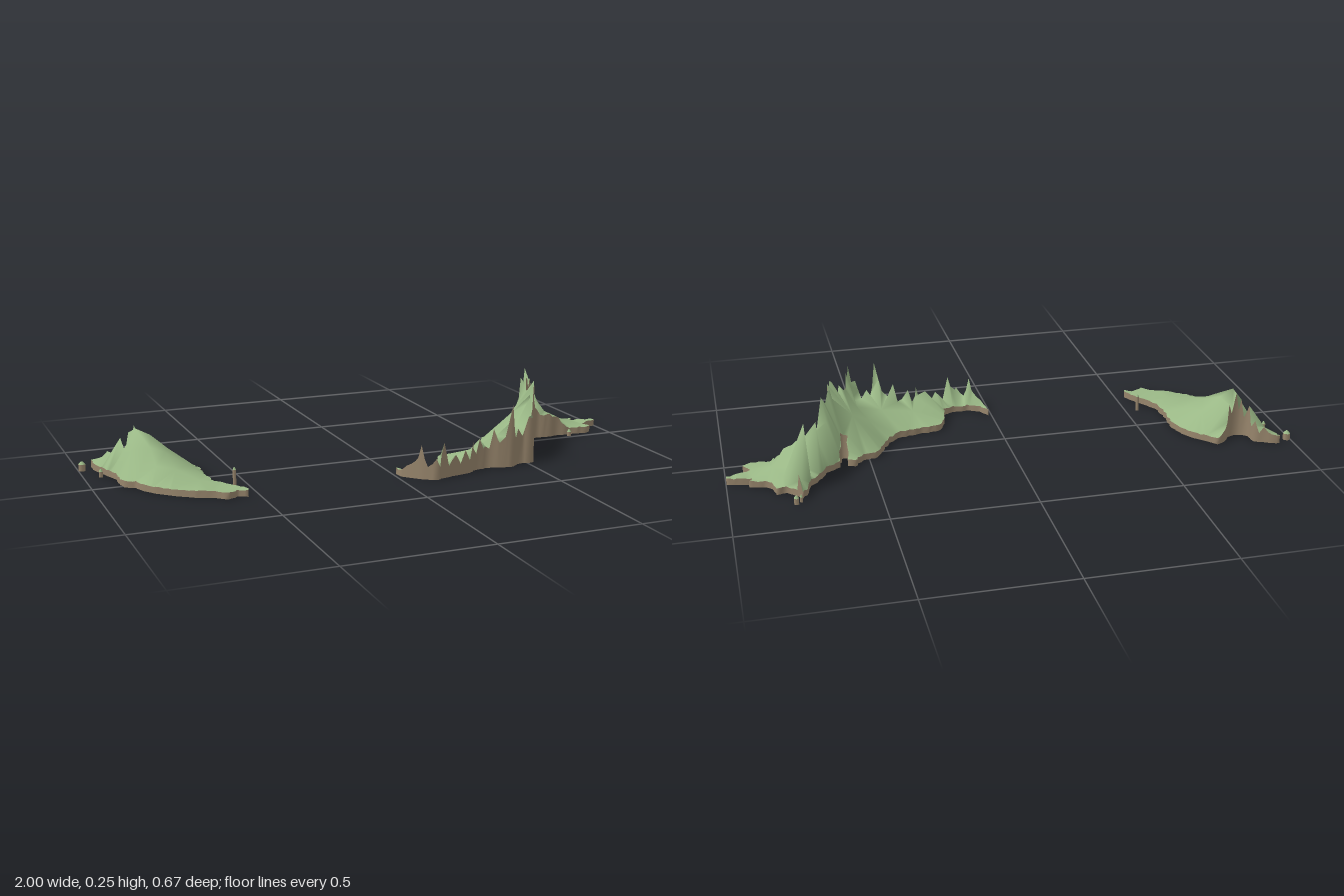
import * as THREE from 'three';

const COAST = 0.024; // height of the land's rim along the sea

const green = new THREE.MeshStandardMaterial({ color: 0x9ab886 });
green.name = 'meadow green';
const brown = new THREE.MeshStandardMaterial({ color: 0x97856c });
brown.name = 'earth brown';

function seeded(seed) {
  return () => (seed = (seed * 16807) % 2147483647) / 2147483647;
}

// Delaunay triangulation of [x, z] points
function delaunay(points) {
  const p = [...points, [-20, -20], [20, -20], [0, 30]];
  const n = points.length;
  const circle = (a, b, c) => {
    const [ax, ay] = p[a], bx = p[b][0] - ax, by = p[b][1] - ay, cx = p[c][0] - ax, cy = p[c][1] - ay;
    const d = 2 * (bx * cy - by * cx) || 1e-14;
    const ux = (cy * (bx * bx + by * by) - by * (cx * cx + cy * cy)) / d;
    const uy = (bx * (cx * cx + cy * cy) - cx * (bx * bx + by * by)) / d;
    return { v: [a, b, c], x: ax + ux, y: ay + uy, r: ux * ux + uy * uy };
  };
  let tris = [circle(n, n + 1, n + 2)];
  for (let i = 0; i < n; i++) {
    const edges = new Map();
    tris = tris.filter((t) => {
      if ((p[i][0] - t.x) ** 2 + (p[i][1] - t.y) ** 2 >= t.r) return true;
      t.v.forEach((a, k) => {
        const b = t.v[(k + 1) % 3], key = Math.min(a, b) + '_' + Math.max(a, b);
        if (edges.has(key)) edges.delete(key);
        else edges.set(key, [a, b]);
      });
      return false;
    });
    for (const [a, b] of edges.values()) tris.push(circle(a, b, i));
  }
  return tris.map((t) => t.v).filter((v) => v.every((k) => k < n));
}

function inside(x, z, ring) {
  let hit = false;
  ring.forEach(([ax, az], i) => {
    const [bx, bz] = ring[(i + 1) % ring.length];
    if (az > z !== bz > z && x < ((bx - ax) * (z - az)) / (bz - az) + ax) hit = !hit;
  });
  return hit;
}

// Splits the outline into short steps: wavy coasts, jagged ridges
function refine(outline, rand) {
  const ring = [];
  outline.forEach(([ax, az, ah = COAST], i) => {
    const [bx, bz, bh = COAST] = outline[(i + 1) % outline.length];
    const steps = Math.max(1, Math.round(Math.hypot(bx - ax, bz - az) / 0.014));
    for (let k = 0; k < steps; k++) {
      const t = k / steps, wobble = k ? (rand() - 0.5) * 0.007 : 0;
      let h = ah + (bh - ah) * t;
      if (k) h *= h > 0.05 ? 0.75 + rand() * 0.25 : 0.85 + rand() * 0.2;
      ring.push([ax + (bx - ax) * t + wobble, az + (bz - az) * t + wobble, h]);
    }
  });
  return ring;
}

function geometry(positions, index) {
  const g = new THREE.BufferGeometry();
  g.setAttribute('position', new THREE.Float32BufferAttribute(positions.flat(), 3));
  g.setIndex(index);
  g.computeVertexNormals();
  return g;
}

// Relief land: green slopes between rim and hills, brown cliff wall, flat base.
// The outline runs clockwise as seen from above.
function makeLand(name, outline, hills, seed) {
  const ring = refine(outline, seeded(seed));
  const points = [...ring, ...hills];

  const top = [], base = [];
  for (const [a, b, c] of delaunay(points)) {
    const [A, B, C] = [points[a], points[b], points[c]];
    if (!inside((A[0] + B[0] + C[0]) / 3, (A[1] + B[1] + C[1]) / 3, ring)) continue;
    const up = (B[1] - A[1]) * (C[0] - A[0]) - (B[0] - A[0]) * (C[1] - A[1]) > 0;
    top.push(...(up ? [a, b, c] : [a, c, b]));
    base.push(...(up ? [a, c, b] : [a, b, c]));
  }
  const wall = [], wallIndex = [];
  ring.forEach(([x, z, h], i) => {
    const a = 2 * i, b = 2 * ((i + 1) % ring.length);
    wall.push([x, 0, z], [x, h, z]);
    wallIndex.push(a, a + 1, b, b, a + 1, b + 1);
  });

  const land = new THREE.Group();
  land.name = name;
  const add = (part, geo, material) => {
    const mesh = new THREE.Mesh(geo, material);
    mesh.name = name + part;
    land.add(mesh);
  };
  add('Surface', geometry(points.map(([x, z, h]) => [x, h, z]), top), green);
  add('Cliffs', geometry(wall, wallIndex), brown);
  add('Base', geometry(points.map(([x, z]) => [x, 0, z]), base), brown);
  return land;
}

// Small islet with a green cap
function makeIslet([x, z, radius, height]) {
  const islet = new THREE.Group();
  islet.name = 'islet';
  const body = new THREE.Mesh(new THREE.CylinderGeometry(radius, radius, height, 6), brown);
  body.position.y = height / 2;
  body.name = 'isletCliffs';
  const cap = new THREE.Mesh(new THREE.CylinderGeometry(radius * 0.3, radius, 0.009, 6), green);
  cap.position.y = height + 0.0045;
  cap.name = 'isletTop';
  islet.add(body, cap);
  islet.position.set(x, 0, z);
  return islet;
}

export function createModel() {
  const model = new THREE.Group();
  model.name = 'reliefMap';

  // western land: jagged mountain border in the north, then the coast
  const westBorder = [
    [-0.95, -0.265, 0.03], [-0.92, -0.26, 0.035], [-0.895, -0.245, 0.06], [-0.88, -0.24, 0.035], [-0.865, -0.232, 0.08],
    [-0.862, -0.205, 0.05], [-0.86, -0.185, 0.12], [-0.847, -0.173, 0.07], [-0.835, -0.168, 0.14], [-0.828, -0.166, 0.1],
    [-0.815, -0.165, 0.165], [-0.8, -0.17, 0.09], [-0.785, -0.178, 0.13], [-0.775, -0.195, 0.07], [-0.76, -0.21, 0.045],
  ];
  const westCoast = [
    [-0.73, -0.225], [-0.7, -0.19], [-0.665, -0.155], [-0.635, -0.11], [-0.617, -0.05], [-0.625, 0.03], [-0.618, 0.12],
    [-0.59, 0.165], [-0.56, 0.21], [-0.535, 0.255], [-0.54, 0.272], [-0.575, 0.257], [-0.61, 0.278], [-0.645, 0.245],
    [-0.7, 0.22], [-0.76, 0.176], [-0.815, 0.123], [-0.845, 0.08], [-0.86, 0.035], [-0.895, 0.015], [-0.9, -0.03],
    [-0.9, -0.08], [-0.915, -0.13], [-0.93, -0.175], [-0.945, -0.22],
  ];
  const westHills = [
    [-0.82, -0.12, 0.165], [-0.77, -0.12, 0.138], [-0.79, -0.04, 0.115], [-0.74, -0.03, 0.095], [-0.71, -0.11, 0.085],
    [-0.85, -0.07, 0.1], [-0.73, 0.07, 0.06], [-0.67, 0.0, 0.05], [-0.79, 0.04, 0.07], [-0.67, 0.14, 0.035],
  ];
  model.add(makeLand('westLand', [...westBorder, ...westCoast], westHills, 11));

  // eastern land: low sea coast, then the jagged southern border
  const northCoast = [
    [0.012, 0.212], [0.035, 0.255], [0.08, 0.277], [0.135, 0.275], [0.175, 0.26], [0.18, 0.21], [0.2, 0.145], [0.22, 0.123],
    [0.3, 0.112], [0.375, 0.095], [0.41, 0.065], [0.44, 0.005], [0.47, -0.042], [0.52, -0.053], [0.545, -0.075], [0.555, -0.095],
    [0.58, -0.085], [0.57, -0.03, 0.09], [0.596, -0.025, 0.1], [0.607, -0.09], [0.66, -0.123], [0.677, -0.16], [0.72, -0.205],
    [0.735, -0.255], [0.757, -0.294], [0.766, -0.28, 0.082], [0.773, -0.272], [0.805, -0.24], [0.84, -0.246], [0.85, -0.2],
    [0.87, -0.182], [0.925, -0.17], [0.912, -0.15], [0.95, -0.145], [0.998, -0.133], [0.998, -0.115], [0.95, -0.1],
    [0.915, -0.085], [0.938, -0.048], [0.91, -0.03],
  ];
  const southBorder = [
    [0.83, -0.037, 0.03], [0.795, -0.04, 0.07], [0.75, -0.032, 0.09], [0.7, -0.04, 0.11], [0.675, -0.03, 0.13],
    [0.655, -0.022, 0.24], [0.62, 0.015, 0.25], [0.612, 0.03, 0.21], [0.62, 0.05, 0.18], [0.622, 0.07, 0.25],
    [0.61, 0.095, 0.25], [0.6, 0.11, 0.235], [0.59, 0.12, 0.12], [0.575, 0.13, 0.215], [0.55, 0.155, 0.19],
    [0.545, 0.18, 0.2], [0.54, 0.2, 0.23], [0.535, 0.22, 0.1], [0.532, 0.242, 0.17], [0.525, 0.258, 0.235],
    [0.5, 0.262, 0.17], [0.48, 0.255, 0.1], [0.46, 0.26, 0.13], [0.445, 0.272, 0.1], [0.425, 0.284, 0.225],
    [0.4, 0.28, 0.11], [0.38, 0.275, 0.09], [0.36, 0.268, 0.14], [0.345, 0.264, 0.07], [0.305, 0.268, 0.11],
    [0.29, 0.272, 0.06], [0.272, 0.285, 0.11], [0.255, 0.295, 0.045], [0.235, 0.3, 0.085], [0.215, 0.304, 0.04],
    [0.195, 0.308, 0.075], [0.165, 0.316, 0.04], [0.145, 0.32, 0.125], [0.125, 0.33, 0.045], [0.11, 0.333, 0.075],
    [0.085, 0.316, 0.045], [0.067, 0.303, 0.12], [0.04, 0.275, 0.05], [0.015, 0.245, 0.025],
  ];
  const eastHills = [
    [0.69, -0.155, 0.21], [0.735, -0.208, 0.233], [0.645, -0.065, 0.165], [0.69, -0.1, 0.145], [0.76, -0.165, 0.065],
    [0.765, -0.1, 0.085], [0.81, -0.19, 0.04], [0.84, -0.12, 0.045], [0.755, -0.25, 0.05],
    [0.54, 0.05, 0.13], [0.48, 0.1, 0.085], [0.42, 0.17, 0.085], [0.3, 0.2, 0.055], [0.51, 0.15, 0.115],
  ];
  model.add(makeLand('eastLand', [...northCoast, ...southBorder], eastHills, 29));

  // islets: x, z, radius, height
  const islets = [
    [-0.987, -0.24, 0.013, 0.024], [-0.942, -0.137, 0.007, 0.02], [-0.545, 0.13, 0.006, 0.055],
    [0.782, -0.326, 0.009, 0.022], [0.765, -0.315, 0.005, 0.018], [0.83, -0.017, 0.008, 0.016],
  ];
  islets.forEach((islet) => model.add(makeIslet(islet)));
  return model;
}
